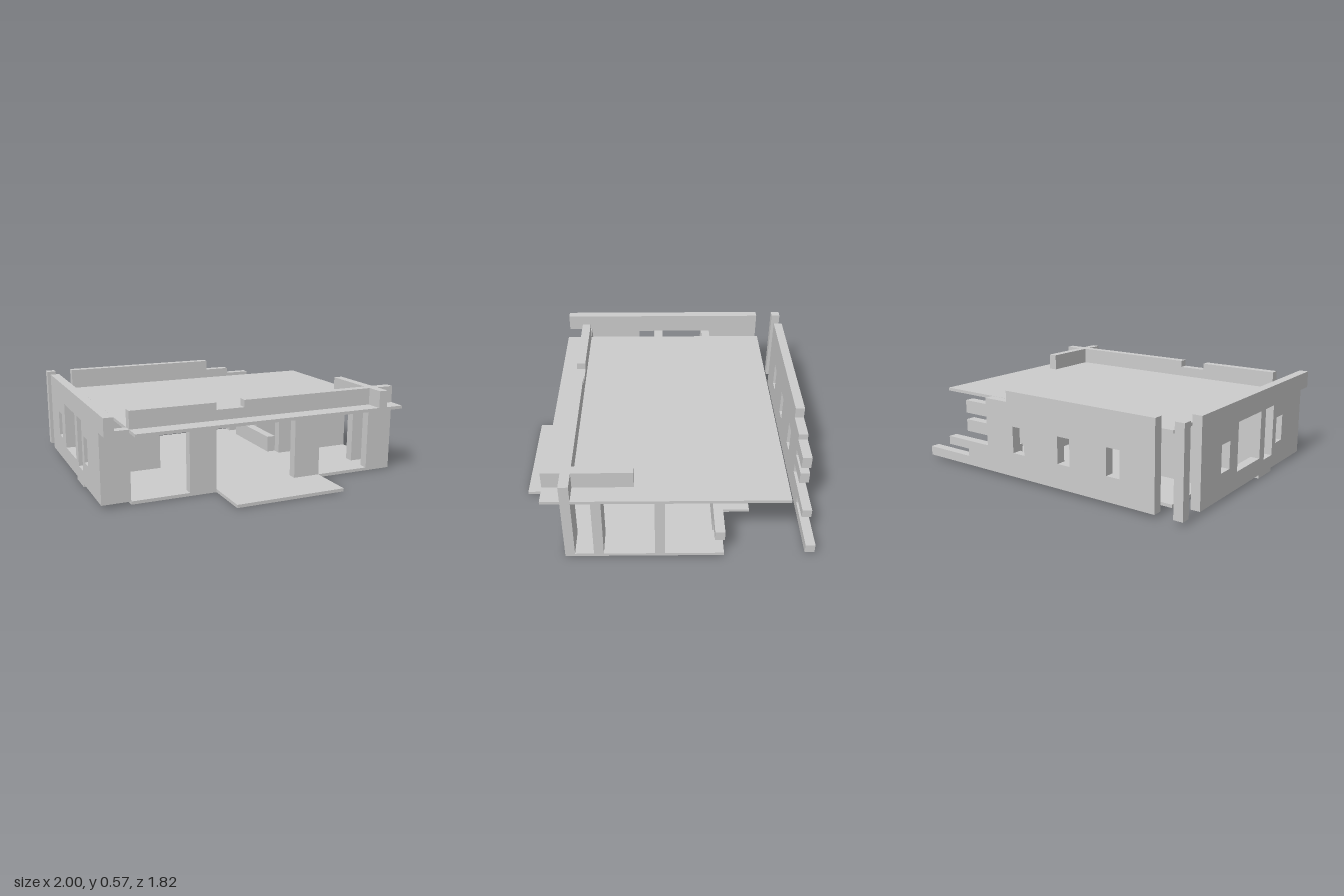
import * as THREE from 'three';

const material = new THREE.MeshStandardMaterial({ color: 0xcccccc, flatShading: true, side: THREE.DoubleSide });
const T = 0.06; // wall thickness
const FLOOR = 0.025, CEILING = 0.44, ROOF = 0.46, TOP = 0.57;

export function createModel() {
  const model = new THREE.Group();
  model.name = 'ruinedHouse';

  function add(name, geometry) {
    const mesh = new THREE.Mesh(geometry, material);
    mesh.name = name;
    model.add(mesh);
    return mesh;
  }

  // Box given by its limits on each axis
  function box(name, x0, x1, y0, y1, z0, z1) {
    const mesh = add(name, new THREE.BoxGeometry(x1 - x0, y1 - y0, z1 - z0));
    mesh.position.set((x0 + x1) / 2, (y0 + y1) / 2, (z0 + z1) / 2);
    return mesh;
  }

  // Extruded outline with rectangular openings [u0, u1, v0, v1]
  function panel(outline, openings, depth) {
    const shape = new THREE.Shape(outline.map(([u, v]) => new THREE.Vector2(u, v)));
    for (const [u0, u1, v0, v1] of openings) {
      const hole = [[u0, v0], [u0, v1], [u1, v1], [u1, v0]];
      shape.holes.push(new THREE.Path(hole.map(([u, v]) => new THREE.Vector2(u, v))));
    }
    return new THREE.ExtrudeGeometry(shape, { depth, bevelEnabled: false });
  }

  // Wall outline whose +x end breaks off at a different length per row [y0, y1, end]
  function raggedOutline(start, rows) {
    const points = [[start, rows[0][0]]];
    for (const [y0, y1, end] of rows) points.push([end, y0], [end, y1]);
    points.push([start, rows[rows.length - 1][1]]);
    return points;
  }

  // Floor slab with doorstep terrace and a broken back corner
  const floor = panel([
    [-0.82, -0.605], [-0.275, -0.605], [-0.275, -0.905], [0.45, -0.905], [0.45, -0.605],
    [1, -0.605], [1, 0.36], [0.63, 0.36], [0.63, 0.55], [0.45, 0.55], [0.45, 0.73], [-0.82, 0.73],
  ], [], 0.02);
  floor.rotateX(-Math.PI / 2);
  add('floorSlab', floor).position.y = 0.005;

  // Roof slab and parapets
  box('roofSlab', -0.82, 1, CEILING, ROOF, -0.73, 0.72);
  add('frontParapet', panel([
    [-0.82, ROOF], [1, ROOF], [1, TOP], [-0.09, TOP], [-0.09, 0.525],
    [-0.275, 0.525], [-0.275, TOP], [-0.82, TOP],
  ], [], T)).position.z = 0.545;
  box('rightParapetBack', 0.82, 0.88, ROOF, TOP, 0.18, 0.545);
  box('rightParapetFront', 0.82, 0.88, ROOF, TOP, 0.605, 0.72);

  // Left wall: outline in (-z, y), turned to face sideways
  const leftWall = panel([
    [-0.72, ROOF], [-0.605, ROOF], [-0.605, FLOOR], [-0.18, FLOOR], [-0.18, 0.003], [0, 0.003],
    [0, FLOOR], [0.73, FLOOR], [0.73, TOP], [-0.72, TOP],
  ], [
    [-0.32, -0.23, 0.18, 0.35], [-0.18, -0.065, 0.11, CEILING],
    [0, 0.3, 0.135, CEILING], [0.4, 0.5, 0.18, 0.35],
  ], T);
  leftWall.rotateY(Math.PI / 2);
  add('leftWall', leftWall).position.x = -1;

  // Detached back wall with three windows and a broken end
  const backRows = [
    [FLOOR, 0.085, 1], [0.085, 0.135, 0.63], [0.135, 0.19, 0.81], [0.19, 0.256, 0.45],
    [0.256, 0.334, 0.63], [0.334, 0.378, 0.45], [0.378, ROOF, 0.63], [ROOF, 0.5, 0.45], [0.5, TOP, 0.27],
  ];
  const windows = [-0.54, -0.18, 0.18].map((x) => [x - 0.046, x + 0.046, 0.18, 0.35]);
  add('backWall', panel(raggedOutline(-0.82, backRows), windows, T)).position.z = -0.91;
  box('cornerPost', -1, -0.94, FLOOR, TOP, -0.91, -0.85);

  // Front wall piers
  box('frontCornerPier', -0.94, -0.82, FLOOR, ROOF, 0.545, 0.605);
  for (const [x0, x1] of [[-0.45, -0.275], [0.27, 0.45], [0.82, 1]]) {
    box('frontPier', x0, x1, FLOOR, CEILING, 0.545, 0.605);
  }

  // Right side fin walls
  box('rightFin', 0.82, 1, 0.002, CEILING, 0.37, 0.43);
  box('rightFin', 0.45, 1, 0.002, CEILING, 0, 0.06);

  // Inner partitions joining the left wall
  box('frontPartition', -0.94, -0.45, FLOOR, CEILING, 0, 0.06);
  box('backPartition', -0.94, -0.45, FLOOR, CEILING, -0.365, -0.305);

  // Broken inner partition on the right
  const innerRows = [
    [FLOOR, 0.135, 0.81], [0.135, 0.2, 1], [0.2, 0.256, 0.63], [0.256, 0.334, 0.81], [0.334, CEILING, 0.63],
  ];
  add('brokenPartition', panel(raggedOutline(0.45, innerRows), [], T)).position.z = -0.36;

  // Low remains of a cross wall
  for (const [z0, z1, y] of [[-0.48, 0, 0.135], [-0.54, -0.48, 0.18], [-0.73, -0.66, 0.15]]) {
    box('lowWallRemains', 0.39, 0.45, FLOOR, y, z0, z1);
  }

  return model;
}
